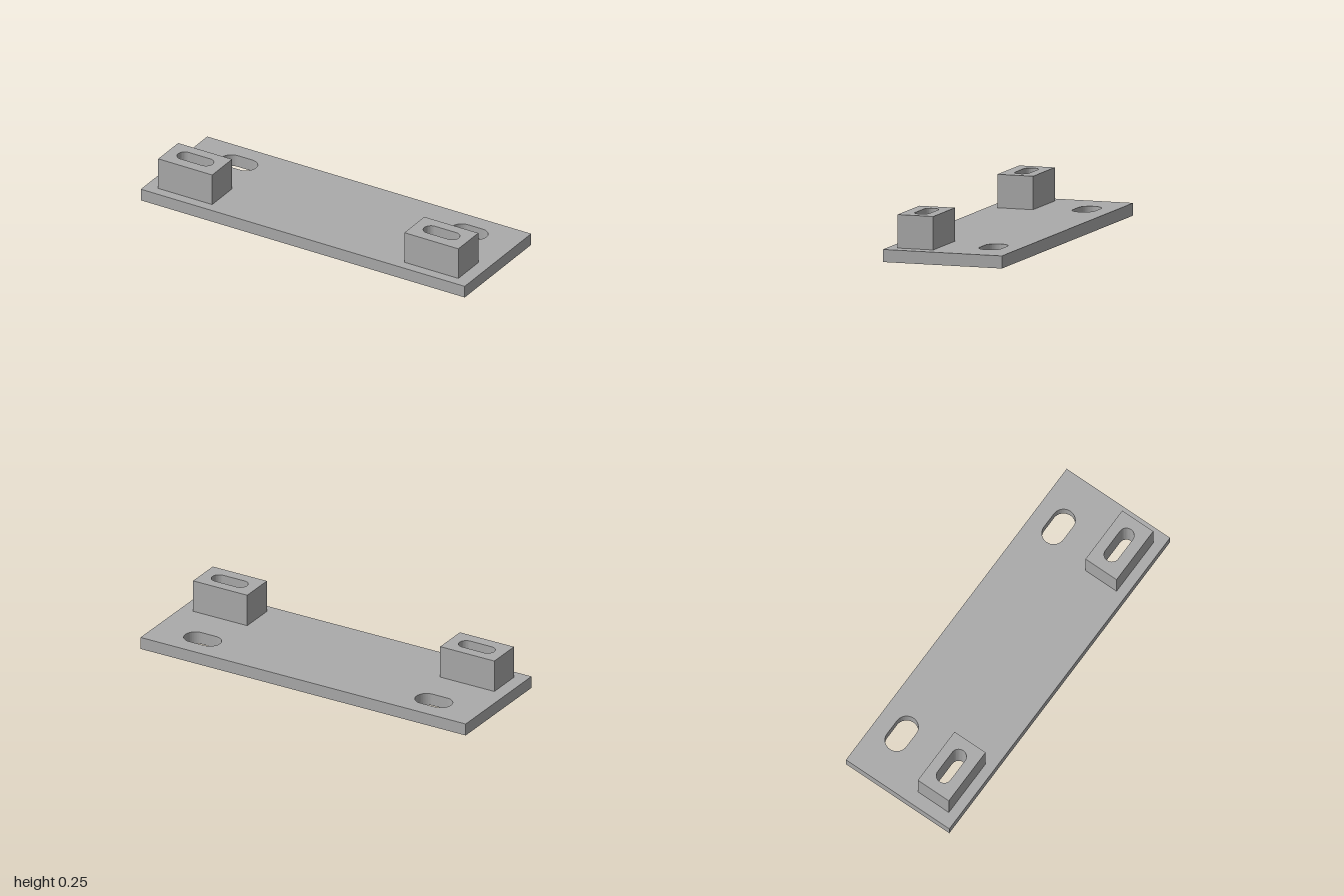
import * as THREE from 'three';
import { toCreasedNormals } from 'three/addons/utils/BufferGeometryUtils.js';

const PLATE_TOP = 0.067;
const BLOCK_TOP = 0.245;
const BLOCK = { x: 0.76, z: 0.178 };

// Rectangle centred on (x, z); outlines are drawn in plan, with shape y as model z
function rectangle(Type, x, z, w, d) {
  const p = new Type();
  p.moveTo(x - w / 2, z - d / 2);
  p.lineTo(x + w / 2, z - d / 2);
  p.lineTo(x + w / 2, z + d / 2);
  p.lineTo(x - w / 2, z + d / 2);
  p.closePath();
  return p;
}

// Round-ended slot centred on (x, z)
function slot(x, z, length, width) {
  const r = width / 2;
  const s = length / 2 - r;
  const p = new THREE.Path();
  p.absarc(x + s, z, r, -Math.PI / 2, Math.PI / 2, false);
  p.absarc(x - s, z, r, Math.PI / 2, Math.PI * 1.5, false);
  p.closePath();
  return p;
}

// Extrudes a plan outline from y0 up to y1
function slab(shape, y0, y1) {
  const g = new THREE.ExtrudeGeometry(shape, { depth: y1 - y0, bevelEnabled: false, curveSegments: 16 });
  g.rotateX(Math.PI / 2);
  g.translate(0, y1, 0);
  return toCreasedNormals(g, 0.6);
}

export function createModel() {
  const model = new THREE.Group();
  model.name = 'mountingPlate';
  const grey = new THREE.MeshStandardMaterial({ color: 0xaaaaaa });
  grey.name = 'grey';

  function add(name, geometry) {
    const mesh = new THREE.Mesh(geometry, grey);
    mesh.name = name;
    model.add(mesh);
  }

  // Base plate with rear slots and rectangular pockets beneath the blocks
  const plate = rectangle(THREE.Shape, 0, 0, 2, 0.667);
  for (const side of [-1, 1]) {
    plate.holes.push(slot(side * 0.711, -0.18, 0.213, 0.124));
    plate.holes.push(rectangle(THREE.Path, side * BLOCK.x, BLOCK.z, 0.28, 0.124));
  }
  add('basePlate', slab(plate, 0, PLATE_TOP));

  // Raised blocks, each with a narrow slot down to its pocket
  for (const side of [-1, 1]) {
    const block = rectangle(THREE.Shape, side * BLOCK.x, BLOCK.z, 0.333, 0.2);
    block.holes.push(slot(side * BLOCK.x, BLOCK.z - 0.002, 0.213, 0.082));
    add(side > 0 ? 'leftBlock' : 'rightBlock', slab(block, PLATE_TOP, BLOCK_TOP));
  }
  return model;
}
